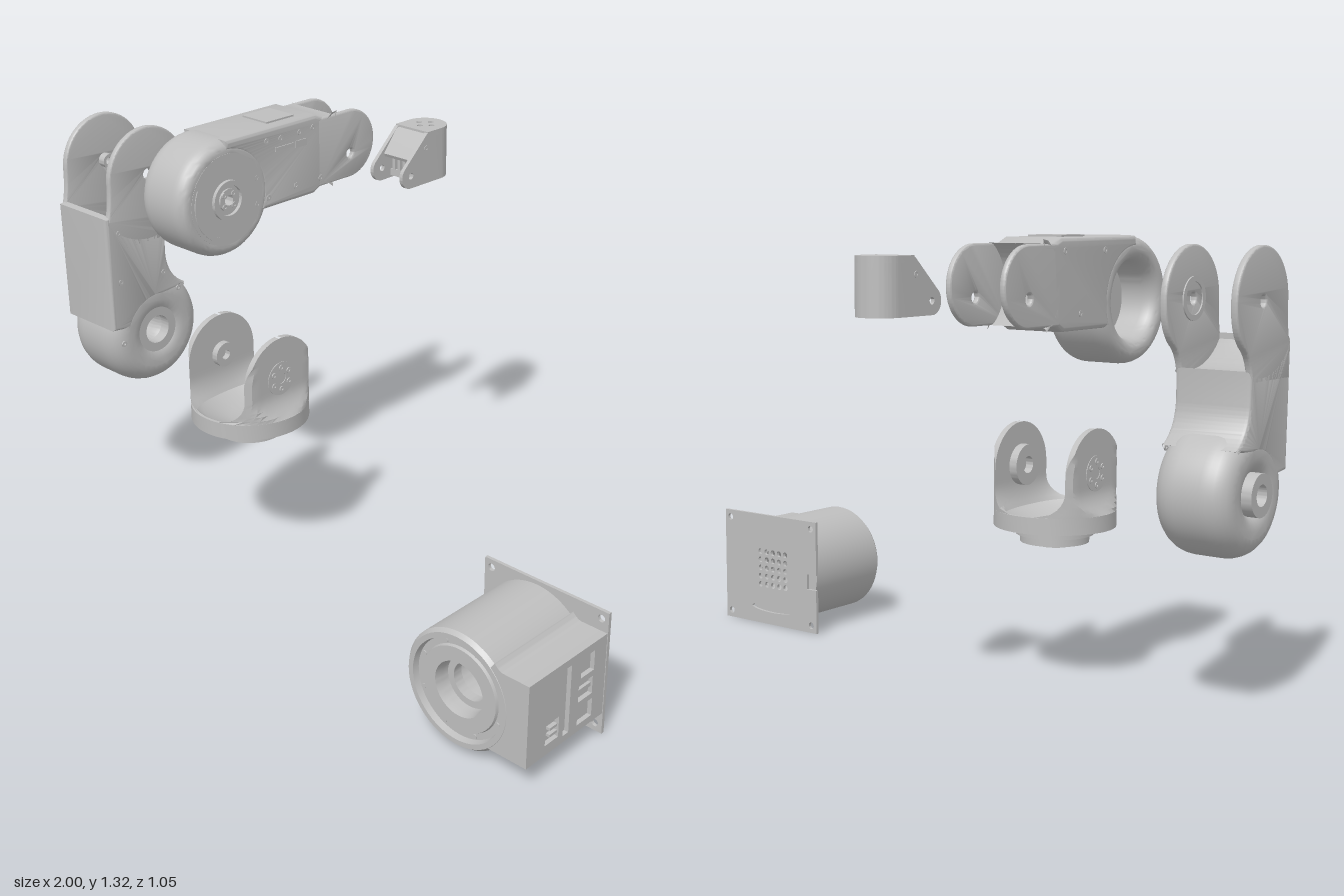
import * as THREE from 'three';
import { toCreasedNormals } from 'three/addons/utils/BufferGeometryUtils.js';

const grey = new THREE.MeshStandardMaterial({ color: 0xbebebe });
grey.name = 'machined grey';

function add(group, name, geo) {
  const m = new THREE.Mesh(toCreasedNormals(geo, 0.55), grey);
  m.name = name;
  group.add(m);
  return m;
}
function part(root, name) {
  const g = new THREE.Group();
  g.name = name;
  root.add(g);
  return g;
}
const rad = THREE.MathUtils.degToRad;
const circle = (x, y, r) => new THREE.Path().absarc(x, y, r, 0, Math.PI * 2, false);
const rect = (x0, y0, x1, y1) =>
  new THREE.Shape([[x0, y0], [x1, y0], [x1, y1], [x0, y1]].map(p => new THREE.Vector2(...p)));

// Plain extrusion with an optional rounded edge that stays inside the outline
function extrude(shape, depth, b = 0, bt = b) {
  return new THREE.ExtrudeGeometry(shape, {
    depth: depth - 2 * bt, curveSegments: 36, bevelEnabled: b > 0,
    bevelSize: b, bevelThickness: bt, bevelOffset: -b, bevelSegments: 6,
  }).translate(0, 0, bt);
}
// Side profile drawn as (z, y), spanning x0..x1
const slab = (shape, x0, x1, b, bt) => extrude(shape, x1 - x0, b, bt).rotateY(-Math.PI / 2).translate(x1, 0, 0);
const lathe = pts => new THREE.LatheGeometry(pts.map(p => new THREE.Vector2(...p)), 56);
// Ring around an axis along x
const ringX = (ro, ri, x0, x1, y, z) =>
  lathe([[ri, x0], [ro, x0], [ro, x1], [ri, x1], [ri, x0]]).rotateZ(-Math.PI / 2).translate(0, y, z);
const box = (x0, x1, y0, y1, z0, z1) =>
  new THREE.BoxGeometry(x1 - x0, y1 - y0, z1 - z0).translate((x0 + x1) / 2, (y0 + y1) / 2, (z0 + z1) / 2);

function screws(g, list, xs) {
  for (const x of xs) for (const [z, y] of list) add(g, 'screw', ringX(0.009, 0.004, x - 0.002, x + 0.002, y, z));
}
function boltCircle(g, n, r, x, y, z) {
  const list = [];
  for (let i = 0; i < n; i++) {
    const a = (i + 0.5) / n * Math.PI * 2;
    list.push([z + r * Math.cos(a), y + r * Math.sin(a)]);
  }
  screws(g, list, [x]);
}

// Base housing: round drum, side box with ports, perforated back plate
function buildBase(root) {
  const g = part(root, 'base');
  const cx = 0.767, cy = 0.188;
  add(g, 'drum', lathe([[0.075, 0.205], [0.172, 0.205], [0.172, 0.513], [0.163, 0.525], [0.148, 0.525],
    [0.144, 0.507], [0.125, 0.507], [0.122, 0.515], [0.08, 0.515], [0.075, 0.49], [0.075, 0.205]])
    .rotateX(Math.PI / 2).translate(cx, cy, 0));
  add(g, 'innerHub', lathe([[0.055, 0.44], [0.075, 0.44], [0.075, 0.47], [0.055, 0.47], [0.055, 0.44]])
    .rotateX(Math.PI / 2).translate(cx, cy, 0));
  for (let i = 0; i < 8; i++) {
    const a = (i + 0.5) * Math.PI / 4;
    add(g, 'drumScrew', new THREE.CylinderGeometry(0.007, 0.007, 0.004, 16).rotateX(Math.PI / 2)
      .translate(cx + 0.134 * Math.cos(a), cy + 0.134 * Math.sin(a), 0.508));
  }
  const side = new THREE.Shape();
  side.moveTo(0.88, 0.065);
  side.lineTo(0.985, 0.065);
  side.lineTo(0.985, 0.312);
  side.lineTo(0.915, 0.312);
  side.quadraticCurveTo(0.9, 0.314, 0.888, 0.33);
  side.lineTo(cx + 0.16 * Math.cos(0.85), cy + 0.16 * Math.sin(0.85));
  side.absarc(cx, cy, 0.16, 0.85, -0.85, true);
  add(g, 'sideBox', extrude(side, 0.32).translate(0, 0, 0.204));
  const panel = rect(0.204, 0.065, 0.524, 0.312);
  for (const r of [[0.255, 0.228, 0.311, 0.287], [0.258, 0.157, 0.317, 0.21], [0.255, 0.086, 0.317, 0.14],
    [0.352, 0.085, 0.376, 0.29], [0.395, 0.095, 0.45, 0.157]]) panel.holes.push(rect(...r));
  add(g, 'portPanel', slab(panel, 0.985, 0.998));
  for (const y of [0.11, 0.13]) add(g, 'connectorPin', box(0.985, 0.997, y, y + 0.008, 0.4, 0.43));
  add(g, 'socketBar', box(0.985, 0.994, 0.178, 0.19, 0.26, 0.315));

  const plate = new THREE.Shape();
  [[0.59, 0], [1, 0], [1, 0.372], [0.59, 0.372], [0.59, 0.195], [0.63, 0.195], [0.63, 0.145], [0.59, 0.145]]
    .forEach((p, i) => i ? plate.lineTo(...p) : plate.moveTo(...p));
  for (const x of [0.613, 0.977]) for (const y of [0.024, 0.348]) plate.holes.push(circle(x, y, 0.011));
  for (let i = 0; i < 5; i++) for (let j = 0; j < 5; j++)
    plate.holes.push(circle(0.727 + i * 0.028, 0.134 + j * 0.028, 0.0095));
  plate.holes.push(new THREE.Path().absellipse(0.79, 0.055, 0.09, 0.014, 0, Math.PI * 2));
  add(g, 'backPlate', extrude(plate, 0.01).translate(0, 0, 0.195));
}

// One bracket ear: stacked cross-sections of a drum wall hollowed by a bowl
function bracketEar(s) {
  const R = 0.177, N = 16, L = 30, pos = [], idx = [];
  const inner = (y, z) => {
    const bottom = 0.525 - 0.055 * (1 - (z / R) ** 2);
    return y >= 0.6 ? 0.12 : 0.12 * Math.sqrt(Math.max(0, 1 - ((0.6 - y) / (0.6 - bottom)) ** 2));
  };
  for (let k = 0; k <= L; k++) {
    const y = 0.526 + 0.2439 * Math.sin(k / L * Math.PI / 2);
    const xo = y > 0.6 ? 0.138 : 0.138 + 0.039 * ((0.6 - y) / 0.074) ** 2;
    let hw = 0.13;
    for (let i = 0; i < 12; i++) hw = Math.sqrt(R * R - inner(y, hw) ** 2);
    if (y > 0.64) hw = Math.min(hw, Math.sqrt(Math.max(1e-6, 0.0169 - (y - 0.64) ** 2)));
    for (let i = 0; i < 2 * (N + 1); i++) {
      const isIn = i <= N;
      const z = hw * ((isIn ? i : 2 * N + 1 - i) / N * 2 - 1);
      const xi = inner(y, z);
      pos.push(s * (isIn ? xi : Math.max(xi, Math.min(xo, Math.sqrt(Math.max(0, R * R - z * z))))), y, z);
    }
  }
  const M = 2 * (N + 1);
  for (let k = 0; k < L; k++) for (let i = 0; i < M; i++) {
    const a = k * M + i, b = k * M + (i + 1) % M, c = b + M, d = a + M;
    if (s > 0) idx.push(a, b, c, a, c, d); else idx.push(a, c, b, a, d, c);
  }
  const geo = new THREE.BufferGeometry();
  geo.setAttribute('position', new THREE.Float32BufferAttribute(pos, 3));
  geo.setIndex(idx);
  return geo;
}

// Shoulder bracket: turntable with two upright ears
function buildBracket(root) {
  const g = part(root, 'shoulderBracket');
  add(g, 'turntable', lathe([[0.016, 0.42], [0.05, 0.42], [0.05, 0.432], [0.1, 0.432], [0.1, 0.455], [0.113, 0.455],
    [0.113, 0.48], [0.177, 0.48], [0.177, 0.528], [0.168, 0.528], [0.14, 0.505], [0.06, 0.478], [0.016, 0.478], [0.016, 0.42]]));
  for (const s of [-1, 1]) {
    add(g, 'ear', bracketEar(s));
    add(g, 'earRing', ringX(0.052, 0.017, s * 0.138 - 0.002, s * 0.138 + 0.002, 0.643, 0));
    boltCircle(g, 6, 0.034, s * 0.141, 0.643, 0);
  }
  add(g, 'wideHub', ringX(0.06, 0.025, 0.095, 0.122, 0.645, 0));
  add(g, 'narrowHub', ringX(0.038, 0.015, -0.122, -0.1, 0.645, 0));
  g.position.set(-0.345, 0, 0.192);
}

// Upper arm: rounded bulb, shaft and a fork holding the elbow
function buildUpperArm(root) {
  const g = part(root, 'upperArm');
  const x0 = -0.984, x1 = -0.757, bz = 0.192, by = 0.634;
  const bulb = new THREE.Shape().absarc(bz, by, 0.178, 0, Math.PI * 2, false);
  bulb.holes.push(circle(bz, by, 0.04));
  add(g, 'bulb', slab(bulb, x0, x1, 0.058, 0.075));
  const s = new THREE.Shape();
  s.moveTo(0.366, 0.68);
  s.lineTo(0.37, 1.042);
  s.lineTo(0.35, 1.046);
  s.absarc(0.2, 1.146, 0.19, rad(-38), rad(-107), true);
  s.lineTo(0.145, 0.88);
  s.quadraticCurveTo(0.142, 0.8, 0.075, 0.762);
  s.absarc(bz, by, 0.112, rad(100), rad(20), true);
  add(g, 'shaft', slab(s, x0, x1, 0.012));
  const e = new THREE.Shape();
  e.moveTo(0.15, 0.93);
  e.lineTo(0.36, 0.93);
  e.lineTo(0.36, 1.03);
  e.quadraticCurveTo(0.345, 1.07, 0.345, 1.146);
  e.absarc(0.2, 1.146, 0.145, 0, Math.PI, false);
  e.quadraticCurveTo(0.055, 1.06, 0.11, 1.02);
  e.quadraticCurveTo(0.145, 0.99, 0.15, 0.93);
  e.holes.push(circle(0.2, 1.146, 0.016));
  add(g, 'forkEarRight', slab(e, x0, x0 + 0.02, 0.005));
  add(g, 'forkEarLeft', slab(e, x1 - 0.02, x1, 0.005));
  add(g, 'elbowPin', ringX(0.022, 0.012, x0 + 0.018, -0.94, 1.146, 0.2));
  add(g, 'elbowRing', ringX(0.06, 0.045, x1 - 0.024, x1 - 0.018, 1.146, 0.2));
  add(g, 'shoulderHub', ringX(0.06, 0.03, -1, -0.92, by, bz));
  add(g, 'shoulderSeat', ringX(0.075, 0.045, -0.8, -0.765, by, bz));
  screws(g, [[0.325, 0.988], [0.328, 0.832], [0.331, 0.63], [0.161, 0.82], [0.106, 0.752]], [x1]);
}

// Forearm: open bulb, flat shaft and a fork for the wrist
function buildForearm(root) {
  const g = part(root, 'forearm');
  const x0 = -0.61, x1 = -0.425, bz = 0.18, by = 1.137;
  const bulb = new THREE.Shape().absarc(bz, by, 0.176, 0, Math.PI * 2, false);
  bulb.holes.push(circle(bz, by, 0.105));
  add(g, 'bulb', slab(bulb, x0, x1, 0.03, 0.045));
  add(g, 'bulbCap', ringX(0.137, 0.016, -0.5, x1 + 0.001, by, bz));
  const s = new THREE.Shape();
  s.moveTo(-0.26, 1.085);
  s.lineTo(-0.205, 1.085);
  s.lineTo(-0.175, 1.069);
  s.lineTo(0.03, 1.069);
  s.absarc(bz, by, 0.142, rad(205), rad(90), true);
  s.lineTo(0.18, 1.312);
  s.lineTo(-0.185, 1.312);
  s.lineTo(-0.22, 1.297);
  s.lineTo(-0.26, 1.297);
  s.absarc(-0.33, 1.19, 0.128, rad(57), rad(-55), true);
  add(g, 'shaft', slab(s, x0, x1, 0.012));
  const e = new THREE.Shape();
  e.moveTo(-0.19, 1.085);
  e.lineTo(-0.19, 1.297);
  e.lineTo(-0.33, 1.297);
  e.absarc(-0.33, 1.191, 0.106, Math.PI / 2, Math.PI * 1.5, false);
  e.holes.push(circle(-0.33, 1.16, 0.014));
  add(g, 'forkEarRight', slab(e, x0, x0 + 0.018, 0.006));
  add(g, 'forkEarLeft', slab(e, x1 - 0.018, x1, 0.006));
  add(g, 'elbowHub', ringX(0.06, 0.045, x1 - 0.01, -0.413, by, bz));
  add(g, 'elbowHubCore', ringX(0.034, 0.016, x1 - 0.01, -0.418, by, bz));
  boltCircle(g, 4, 0.025, -0.417, by, bz);
  // curved travel slot beside the hub
  const arc = new THREE.Shape();
  arc.absarc(bz, by, 0.126, rad(-70), rad(25), false);
  arc.absarc(bz, by, 0.112, rad(25), rad(-70), true);
  add(g, 'travelSlot', slab(arc, x1, x1 + 0.004));
  add(g, 'topCover', box(-0.57, -0.465, 1.3, 1.317, -0.13, -0.02));
  add(g, 'sideSlot', box(x1 - 0.01, x1 + 0.003, 1.237, 1.249, -0.09, -0.013));
  add(g, 'sideButton', box(x1 - 0.01, x1 + 0.003, 1.23, 1.251, -0.141, -0.096));
  screws(g, [[0.02, 1.276], [-0.037, 1.272], [-0.115, 1.275], [-0.17, 1.277], [0.063, 1.175], [0.063, 1.095],
    [0.018, 1.103], [-0.095, 1.113], [-0.2, 1.113]], [x1]);
  screws(g, [[0.02, 1.276], [-0.17, 1.277], [-0.095, 1.113]], [x0]);
}

// Wrist: hollow round-backed cap with two pointed ears and a sloping front
function buildWrist(root) {
  const g = part(root, 'wrist');
  const plan = r => {
    const p = new THREE.Shape();
    p.moveTo(-r, 0.395);
    p.lineTo(r, 0.395);
    p.absarc(0, 0.457, r, 0, Math.PI, false);
    return p;
  };
  const wall = plan(0.065);
  wall.holes.push(circle(0, 0.457, 0.05));
  add(g, 'wall', extrude(wall, 0.14).rotateX(-Math.PI / 2).translate(0, 1.108, 0));
  const top = plan(0.065);
  for (const [x, v] of [[0, 0.482], [0, 0.432], [-0.025, 0.457], [0.025, 0.457]]) top.holes.push(circle(x, v, 0.009));
  add(g, 'top', extrude(top, 0.018).rotateX(-Math.PI / 2).translate(0, 1.248, 0));
  const e = new THREE.Shape();
  e.moveTo(-0.41, 1.108);
  e.lineTo(-0.318, 1.108);
  e.absarc(-0.32, 1.145, 0.037, -Math.PI / 2, rad(50), false);
  e.lineTo(-0.385, 1.255);
  e.quadraticCurveTo(-0.395, 1.266, -0.41, 1.266);
  e.holes.push(circle(-0.322, 1.146, 0.01));
  for (const s of [-1, 1]) {
    add(g, 'ear', slab(e, s * 0.059 - 0.006, s * 0.059 + 0.006));
    screws(g, [[-0.388, 1.217]], [s * 0.065]);
  }
  const front = new THREE.Shape([[-0.41, 1.266], [-0.41, 1.18], [-0.335, 1.18], [-0.33, 1.19], [-0.385, 1.255]]
    .map(p => new THREE.Vector2(...p)));
  add(g, 'slopingFront', slab(front, -0.054, 0.054));
  for (let i = -2; i <= 2; i++) add(g, 'frontTooth', box(i * 0.02 - 0.005, i * 0.02 + 0.005, 1.135, 1.182, -0.4, -0.36));
  add(g, 'frontSill', box(-0.055, 0.055, 1.115, 1.136, -0.4, -0.36));
  g.position.x = -0.23;
}

export function createModel() {
  const root = new THREE.Group();
  root.name = 'robotArmParts';
  [buildBase, buildBracket, buildUpperArm, buildForearm, buildWrist].forEach(build => build(root));
  return root;
}
